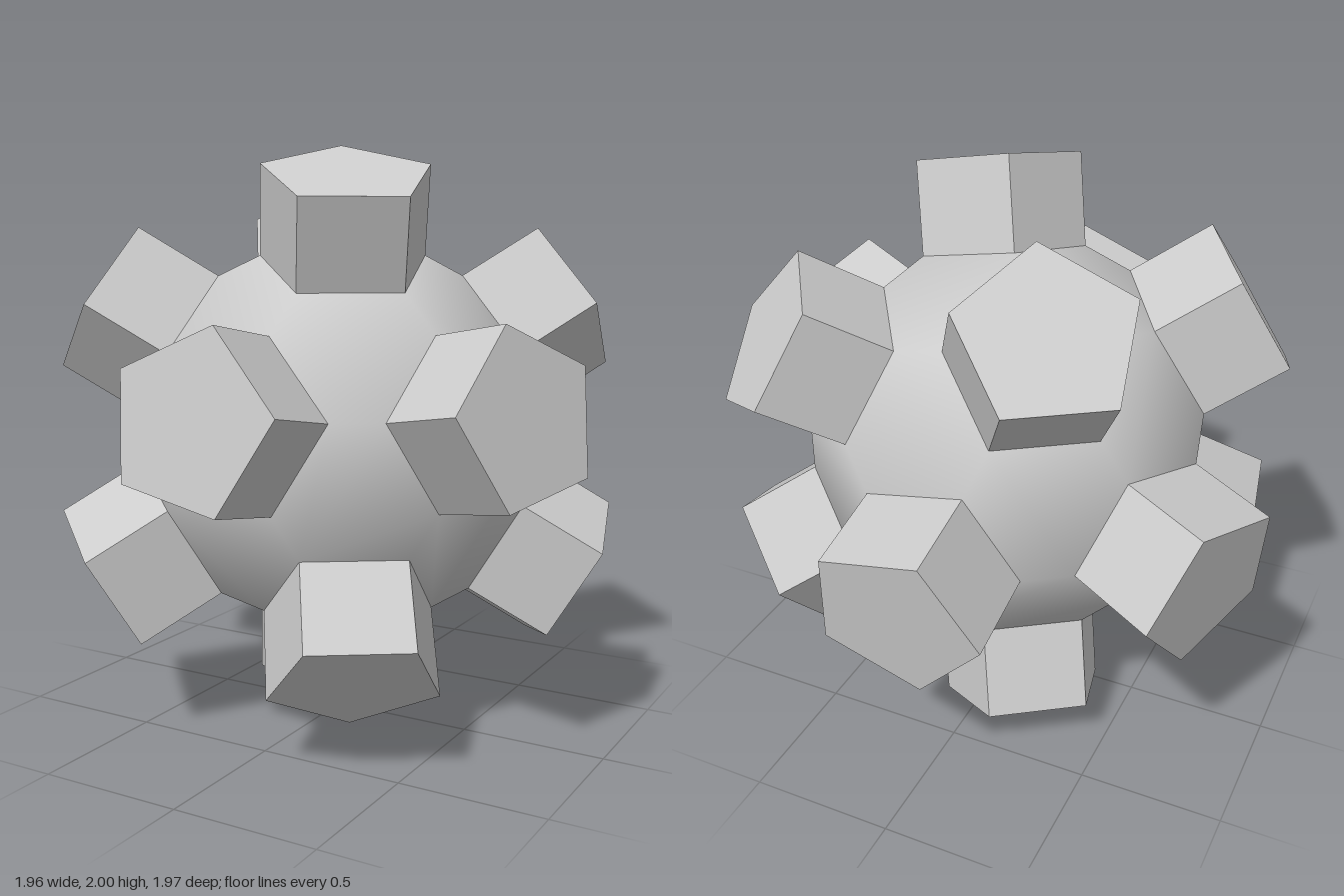
import * as THREE from 'three';
import { ConvexGeometry } from 'three/addons/geometries/ConvexGeometry.js';

const RADIUS = 0.293; // pentagon circumradius
const BASE = 0.64;    // distance of the pentagons on the core
const TOP = 0.956;    // distance of the stud caps

// Twelve icosahedral directions: an axis, a ring of five around it, and their opposites
function studDirections() {
  const axis = new THREE.Vector3(0.192, 0.941, 0.278).normalize();
  const u = new THREE.Vector3(0.034, 0.174, 0.984).projectOnPlane(axis).normalize();
  const dirs = [axis];
  for (let i = 0; i < 5; i++) {
    const side = u.clone().applyAxisAngle(axis, (i * Math.PI * 2) / 5);
    dirs.push(axis.clone().add(side.multiplyScalar(2)).normalize());
  }
  return dirs.concat(dirs.map((d) => d.clone().negate()));
}

// Local frame: y points outward, z points toward a neighbouring stud
function studFrame(dir, dirs) {
  const neighbour = dirs.find((d) => Math.abs(d.dot(dir) - 0.447) < 0.05);
  const z = neighbour.clone().projectOnPlane(dir).normalize();
  const x = new THREE.Vector3().crossVectors(dir, z);
  return new THREE.Matrix4().makeBasis(x, dir, z);
}

export function createModel() {
  const group = new THREE.Group();
  const smooth = new THREE.MeshStandardMaterial({ color: 0xcccccc });
  const flat = new THREE.MeshStandardMaterial({ color: 0xcccccc, flatShading: true });
  const dirs = studDirections();
  const frames = dirs.map((d) => studFrame(d, dirs));

  // Core: truncated icosahedron with smooth shading
  const corners = [];
  for (const frame of frames) {
    for (let i = 0; i < 5; i++) {
      const a = (i * Math.PI * 2) / 5;
      corners.push(new THREE.Vector3(RADIUS * Math.sin(a), BASE, RADIUS * Math.cos(a)).applyMatrix4(frame));
    }
  }
  const coreGeometry = new ConvexGeometry(corners);
  const pos = coreGeometry.attributes.position;
  const normal = new THREE.Vector3();
  for (let i = 0; i < pos.count; i++) {
    normal.fromBufferAttribute(pos, i).normalize();
    coreGeometry.attributes.normal.setXYZ(i, normal.x, normal.y, normal.z);
  }
  const core = new THREE.Mesh(coreGeometry, smooth);
  core.name = 'core';

  // Studs: a pentagonal prism on every pentagon of the core
  const studGeometry = new THREE.CylinderGeometry(RADIUS, RADIUS, TOP - BASE, 5);
  studGeometry.translate(0, (TOP + BASE) / 2, 0);
  const studs = new THREE.Group();
  studs.name = 'studs';
  frames.forEach((frame, i) => {
    const stud = new THREE.Mesh(studGeometry, flat);
    stud.name = `stud${i + 1}`;
    stud.quaternion.setFromRotationMatrix(frame);
    studs.add(stud);
  });

  group.add(core, studs);
  group.position.y = 1;
  const model = new THREE.Group();
  model.name = 'studdedBall';
  group.name = 'ball';
  model.add(group);
  return model;
}
